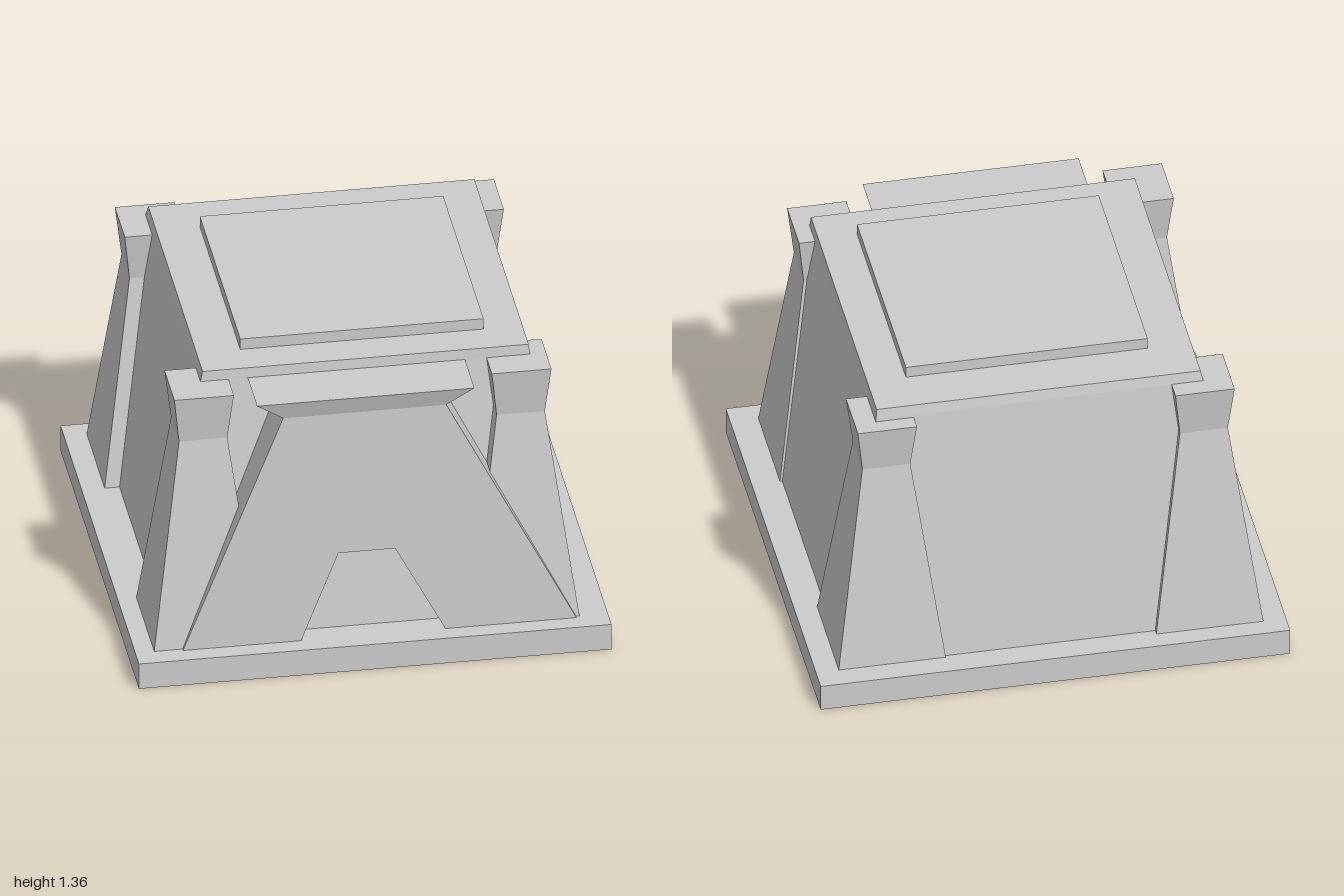
import * as THREE from 'three';

const material = new THREE.MeshStandardMaterial({ color: 0xcccccc, flatShading: true });

function addMesh(group, geometry, name) {
  const flat = geometry.index ? geometry.toNonIndexed() : geometry;
  flat.computeVertexNormals();
  const mesh = new THREE.Mesh(flat, material);
  mesh.name = name;
  group.add(mesh);
  return mesh;
}

// Four-sided solid through rectangular levels [y, xMin, xMax, zMin, zMax]
function loft(levels) {
  const n = levels.length - 1;
  const geometry = new THREE.BoxGeometry(1, 1, 1, 1, n, 1);
  const p = geometry.attributes.position;
  for (let i = 0; i < p.count; i++) {
    const [y, x0, x1, z0, z1] = levels[Math.round((p.getY(i) + 0.5) * n)];
    p.setXYZ(i, p.getX(i) < 0 ? x0 : x1, y, p.getZ(i) < 0 ? z0 : z1);
  }
  return geometry;
}

export function createModel() {
  const model = new THREE.Group();
  model.name = 'fortress';

  // Ground slab
  addMesh(model, loft([[0, -1, 1, -1, 1], [0.12, -1, 1, -1, 1]]), 'base');

  // Sloping walls ending in a thin, steeper roof edge
  addMesh(model, loft([
    [0.12, -0.84, 0.87, -0.89, 0.83],
    [1.265, -0.685, 0.71, -0.73, 0.67],
    [1.31, -0.675, 0.705, -0.72, 0.665],
  ]), 'mainBody');

  // Raised panel on the roof
  addMesh(model, loft([
    [1.31, -0.49, 0.54, -0.52, 0.51],
    [1.36, -0.49, 0.54, -0.52, 0.51],
  ]), 'roofPanel');

  // Corner towers: wide foot, narrow waist, flared head
  const towers = [
    ['frontRightTower', -0.692, 0.68, 1.265],
    ['frontLeftTower', 0.652, 0.68, 1.265],
    ['backRightTower', -0.675, -0.687, 1.265],
    ['backLeftTower', 0.675, -0.673, 1.255],
  ];
  for (const [name, x, z, top] of towers) {
    const rings = [[0.12, 0.228], [1.05, 0.102], [top, 0.126]];
    addMesh(model, loft(rings.map(([y, h]) => [y, x - h, x + h, z - h, z + h])), name);
  }

  // Gatehouse wall with a tapered doorway, its front leaning back slightly
  const outline = [
    [-0.8, 0.12], [-0.3, 0.12], [-0.14, 0.52], [0.1, 0.52], [0.31, 0.12],
    [0.865, 0.12], [0.32, 1.18], [-0.37, 1.18],
  ].map(([x, y]) => new THREE.Vector2(x, y));
  const gate = new THREE.ExtrudeGeometry(new THREE.Shape(outline), { depth: 1, bevelEnabled: false });
  const p = gate.attributes.position;
  for (let i = 0; i < p.count; i++) {
    const front = 0.92 - (p.getY(i) - 0.12) * 0.035;
    p.setZ(i, p.getZ(i) > 0.5 ? front : 0.62);
  }
  addMesh(model, gate, 'gateWall');

  // Overhanging lintel above the gate
  addMesh(model, loft([
    [1.18, -0.37, 0.32, 0.62, 0.883],
    [1.265, -0.485, 0.435, 0.62, 0.91],
  ]), 'gateLintel');

  return model;
}
